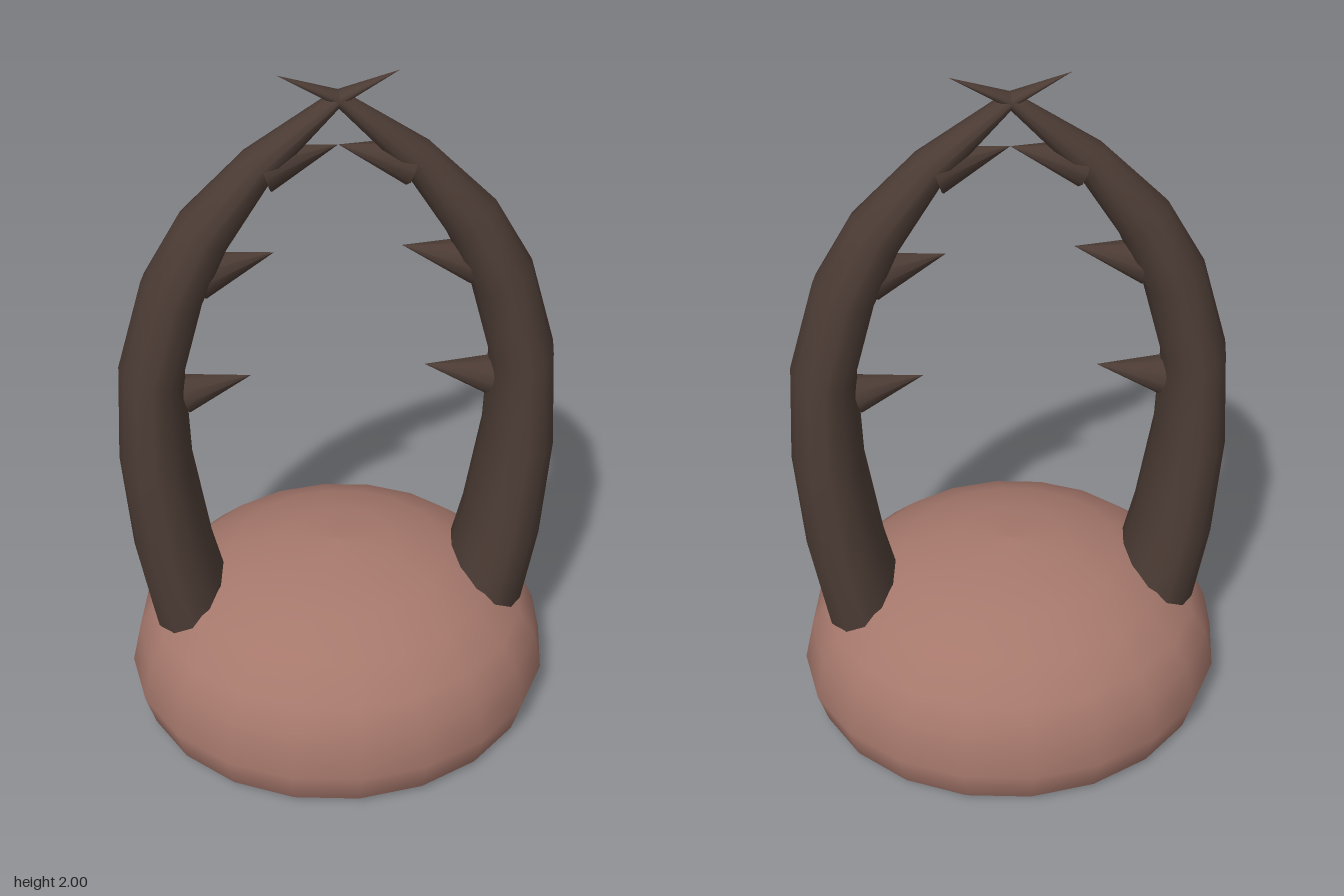
import * as THREE from 'three';

const SIDES = 12;

// Curved, tapering horn: each ring is [x, y, radius in the curve's plane, radius along z]
function hornGeometry(rings) {
  const pos = [], index = [];
  rings.forEach(([x, y, r, rz], i) => {
    const a = rings[Math.max(i - 1, 0)], b = rings[Math.min(i + 1, rings.length - 1)];
    const t = new THREE.Vector2(b[0] - a[0], b[1] - a[1]).normalize();
    for (let j = 0; j < SIDES; j++) {
      const angle = (j / SIDES) * Math.PI * 2;
      const c = Math.cos(angle) * r;
      pos.push(x + t.y * c, y - t.x * c, Math.sin(angle) * rz);
    }
  });
  for (let i = 0; i < rings.length - 1; i++) {
    for (let j = 0; j < SIDES; j++) {
      const p = i * SIDES + j, q = i * SIDES + (j + 1) % SIDES;
      index.push(p, p + SIDES, q, q, p + SIDES, q + SIDES);
    }
  }
  // closed root, with its own vertices to keep the rim sharp
  const start = pos.length / 3;
  pos.push(...pos.slice(0, SIDES * 3), rings[0][0], rings[0][1], 0);
  for (let j = 0; j < SIDES; j++) index.push(start + j, start + (j + 1) % SIDES, start + SIDES);

  const geo = new THREE.BufferGeometry();
  geo.setAttribute('position', new THREE.Float32BufferAttribute(pos, 3));
  geo.setIndex(index);
  geo.computeVertexNormals();
  return geo;
}

// Cone from a base centre to a tip, both in the horn's plane
function thorn([bx, by], [tx, ty], radius, material) {
  const base = new THREE.Vector3(bx, by, 0), tip = new THREE.Vector3(tx, ty, 0);
  const axis = tip.clone().sub(base);
  const mesh = new THREE.Mesh(new THREE.ConeGeometry(radius, axis.length(), 10), material);
  mesh.position.copy(base).add(tip).multiplyScalar(0.5);
  mesh.quaternion.setFromUnitVectors(new THREE.Vector3(0, 1, 0), axis.normalize());
  mesh.name = 'thorn';
  return mesh;
}

export function createModel() {
  const model = new THREE.Group();
  model.name = 'hornedMound';
  const flesh = new THREE.MeshStandardMaterial({ color: 0xa6786c });
  flesh.name = 'dusty pink';
  const horn = new THREE.MeshStandardMaterial({ color: 0x4b3b34 });
  horn.name = 'dark brown';

  // Rounded mound, slightly narrower front to back
  const profile = [
    [0, 0], [0.55, 0.005], [0.592, 0.025], [0.62, 0.13], [0.592, 0.26], [0.545, 0.34],
    [0.45, 0.43], [0.32, 0.495], [0.17, 0.532], [0, 0.545],
  ].map(([x, y]) => new THREE.Vector2(x, y));
  const mound = new THREE.Mesh(new THREE.LatheGeometry(profile, 20), flesh);
  mound.scale.z = 0.89;
  mound.name = 'mound';
  model.add(mound);

  // Two facing horns whose tips cross
  const geo = hornGeometry([
    [0.43, 0.36, 0.12, 0.175], [0.475, 0.6, 0.112, 0.165], [0.505, 0.9, 0.1, 0.145],
    [0.498, 1.18, 0.088, 0.125], [0.43, 1.42, 0.085, 0.105], [0.342, 1.59, 0.075, 0.085],
    [0.2, 1.765, 0.05, 0.058], [0, 1.935, 0.018, 0.03], [-0.15, 2, 0, 0],
  ]);
  for (const side of ['left', 'right']) {
    const group = new THREE.Group();
    group.name = side + 'Horn';
    const shaft = new THREE.Mesh(geo, horn);
    shaft.name = 'hornShaft';
    group.add(
      shaft,
      thorn([0.415, 1.095], [0.235, 1.14], 0.056, horn),
      thorn([0.36, 1.46], [0.165, 1.515], 0.065, horn),
      thorn([0.185, 1.755], [0, 1.81], 0.062, horn),
    );
    if (side === 'right') group.rotation.y = Math.PI;
    model.add(group);
  }
  return model;
}
